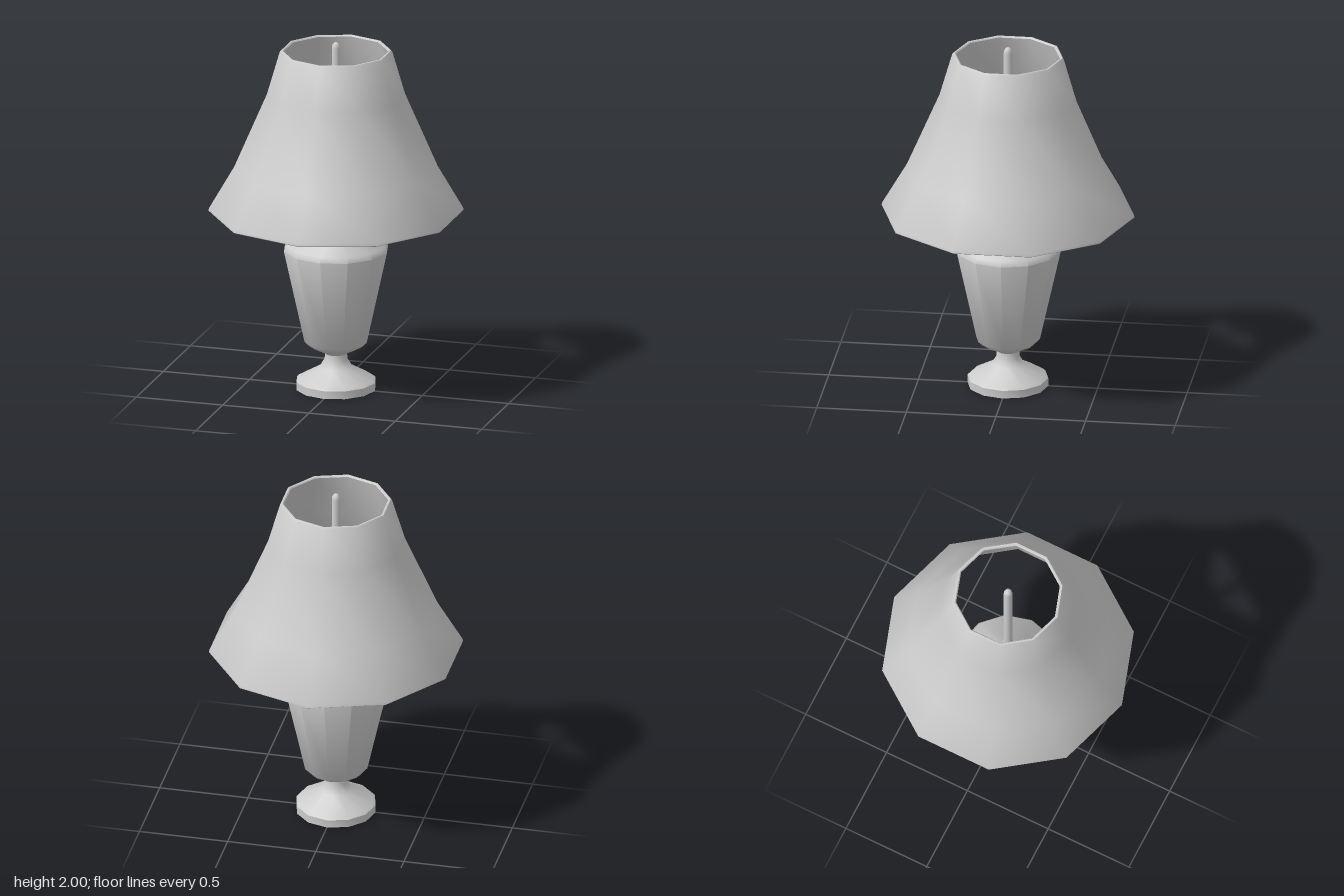
import * as THREE from 'three';
import { toCreasedNormals } from 'three/addons/utils/BufferGeometryUtils.js';

const material = new THREE.MeshStandardMaterial({ color: 0xcccccc, side: THREE.DoubleSide });

// Turned part from [radius, height] pairs, smooth around and creased at sharp profile edges
function turned(name, sides, profile) {
  const points = profile.map(([r, y]) => new THREE.Vector2(r, y));
  const geometry = toCreasedNormals(new THREE.LatheGeometry(points, sides), 0.75);
  const mesh = new THREE.Mesh(geometry, material);
  mesh.name = name;
  return mesh;
}

export function createModel() {
  const lamp = new THREE.Group();
  lamp.name = 'tableLamp';

  // Foot, hollow underneath, rising to a narrow stem
  lamp.add(turned('foot', 12, [
    [0, 0.15], [0.08, 0.11], [0.21, 0.04], [0.218, 0],
    [0.225, 0], [0.225, 0.045], [0.213, 0.057], [0.09, 0.125], [0.065, 0.165], [0.062, 0.21],
  ]));

  // Tapered urn with sloping shoulder and small neck
  lamp.add(turned('urn', 12, [
    [0.062, 0.2], [0.07, 0.208], [0.15, 0.248], [0.178, 0.275],
    [0.295, 0.805], [0.28, 0.835], [0.085, 0.95], [0.072, 0.972], [0.035, 1.012], [0, 1.02],
  ]));

  // Socket sleeve and rod with a rounded finial
  lamp.add(turned('socket', 12, [[0.03, 1.0], [0.03, 1.18], [0.024, 1.19]]));
  lamp.add(turned('rod', 12, [
    [0.024, 1.18], [0.024, 1.965], [0.021, 1.983], [0.012, 1.996], [0, 2.0],
  ]));

  // Ten-sided flared shade with a thin wall: outside upward, then inside downward
  lamp.add(turned('shade', 10, [
    [0.695, 1.02], [0.705, 1.026], [0.703, 1.04], [0.563, 1.28], [0.382, 1.7], [0.311, 1.945], [0.305, 1.952],
    [0.296, 1.952], [0.29, 1.945], [0.362, 1.695], [0.543, 1.275], [0.68, 1.035], [0.685, 1.02], [0.695, 1.02],
  ]));

  return lamp;
}
